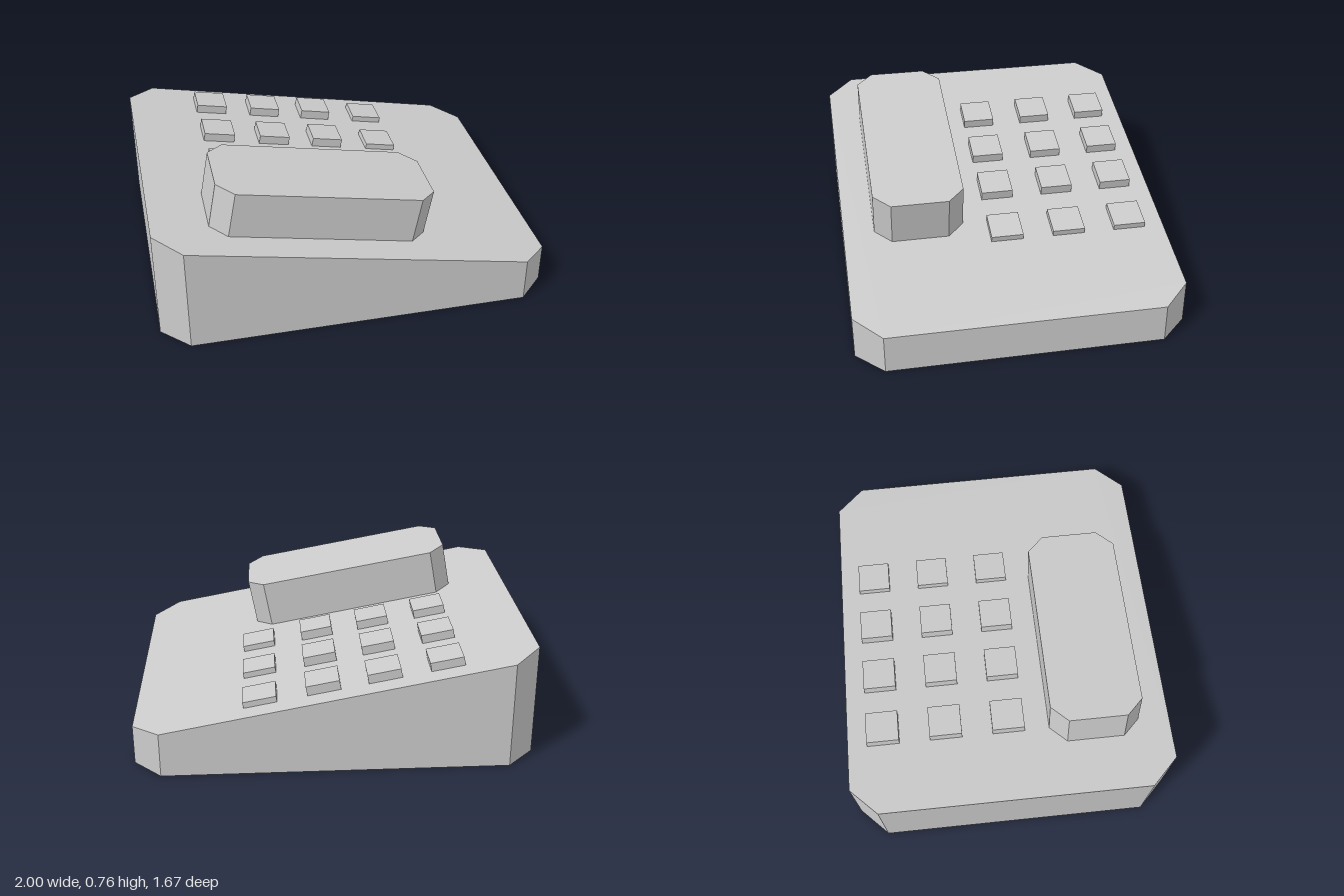
import * as THREE from 'three';

const material = new THREE.MeshStandardMaterial({ color: 0xcccccc, flatShading: true });

// Upright slab whose plan is a rectangle with cut corners, standing on y = 0
function chamferedSlab(width, depth, height, cut) {
  const w = width / 2, d = depth / 2;
  const shape = new THREE.Shape([
    [-w + cut, -d], [w - cut, -d], [w, -d + cut], [w, d - cut],
    [w - cut, d], [-w + cut, d], [-w, d - cut], [-w, -d + cut],
  ].map(([x, y]) => new THREE.Vector2(x, y)));
  const geometry = new THREE.ExtrudeGeometry(shape, { depth: height, bevelEnabled: false });
  return geometry.rotateX(-Math.PI / 2);
}

function part(name, geometry, parent) {
  const mesh = new THREE.Mesh(geometry, material);
  mesh.name = name;
  parent.add(mesh);
  return mesh;
}

export function createModel() {
  const model = new THREE.Group();
  model.name = 'deskPhone';
  const slope = 0.188, middle = 0.392, tilt = Math.atan(slope);

  // Wedge body: top corners follow the sloping face
  const body = chamferedSlab(2, 1.67, 1, 0.139);
  const pos = body.attributes.position;
  for (let i = 0; i < pos.count; i++) {
    if (pos.getY(i) > 0.5) pos.setY(i, middle - slope * pos.getX(i));
  }
  body.computeVertexNormals();
  part('body', body, model);

  // Everything on the sloping face shares its tilted frame
  const face = new THREE.Group();
  face.name = 'slopingFace';
  face.position.y = middle;
  face.rotation.z = -tilt;
  model.add(face);

  // Handset
  const handset = part('handset', chamferedSlab(1.113, 0.465, 0.251, 0.085), face);
  handset.position.set(-0.17, -0.008, 0.4425);
  handset.rotation.z = 0.005;

  // Keypad: four columns by three rows, the last column lower
  const keypad = new THREE.Group();
  keypad.name = 'keypad';
  face.add(keypad);
  const sink = 0.01;
  const columns = [[-0.633, 0.045], [-0.328, 0.047], [-0.028, 0.049], [0.285, 0.031]];
  for (const [left, height] of columns) {
    for (const z of [-0.65, -0.325, 0]) {
      const key = part('key', new THREE.BoxGeometry(0.168, height + sink, 0.167), keypad);
      key.position.set(left / Math.cos(tilt) + 0.084, (height - sink) / 2, z);
    }
  }
  return model;
}
